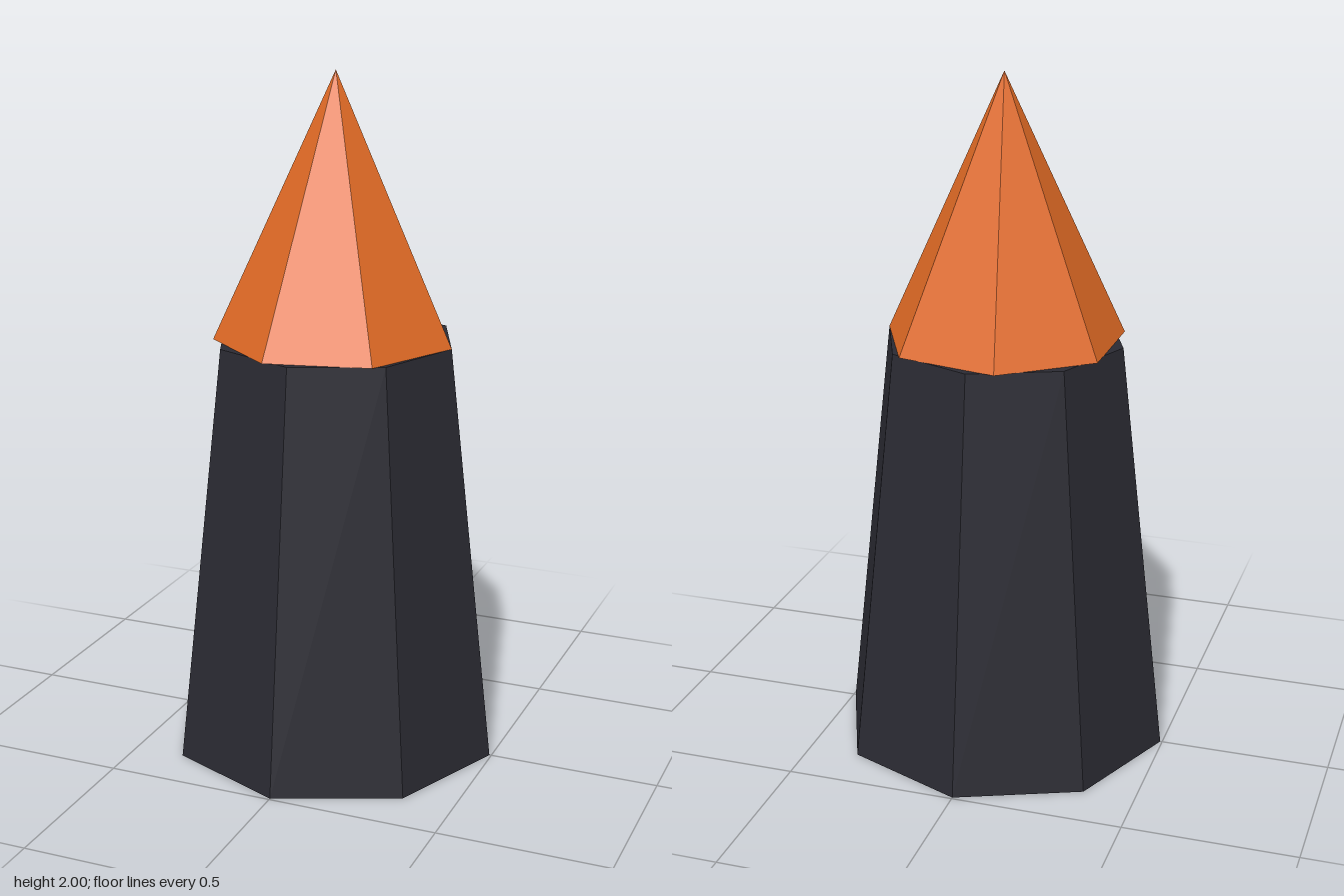
import * as THREE from 'three';

const BODY_HEIGHT = 1.235;
const TIP_HEIGHT = 2 - BODY_HEIGHT;
const TOP_RADIUS = 0.353;
const BASE_RADIUS = 0.494;

function addPart(group, name, geometry, color, bottom, height) {
  const material = new THREE.MeshStandardMaterial({ color, flatShading: true });
  const mesh = new THREE.Mesh(geometry, material);
  mesh.name = name;
  mesh.position.y = bottom + height / 2;
  group.add(mesh);
  return mesh;
}

export function createModel() {
  const group = new THREE.Group();
  group.name = 'spike';

  // Tapered eight-sided body
  const body = new THREE.CylinderGeometry(TOP_RADIUS, BASE_RADIUS, BODY_HEIGHT, 8);
  addPart(group, 'body', body, 0x2a2a32, 0, BODY_HEIGHT);

  // Seven-sided pointed tip, one corner turned to +x
  const cone = new THREE.ConeGeometry(TOP_RADIUS, TIP_HEIGHT, 7);
  const tip = addPart(group, 'tip', cone, 0xe06a25, BODY_HEIGHT, TIP_HEIGHT);
  tip.rotation.y = Math.PI / 2;

  return group;
}
